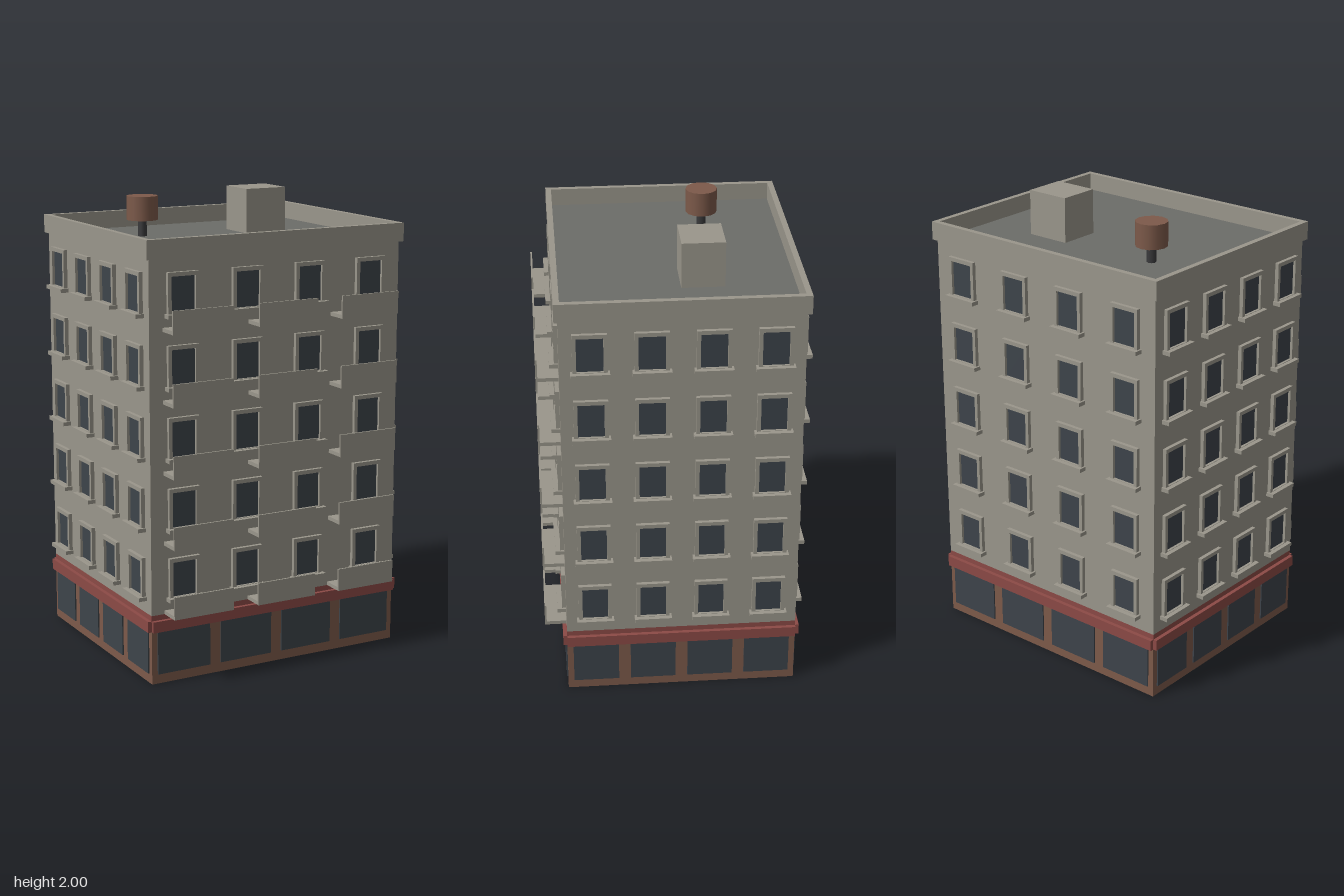
import * as THREE from 'three';

const W = 1.2, D = 1.0, ZC = -0.028; // wall width, depth and depth offset
const FLOORS = 5, STEP = 0.3;

function mat(name, color) {
  const m = new THREE.MeshStandardMaterial({ color });
  m.name = name;
  return m;
}

function add(parent, name, geometry, material, x = 0, y = 0, z = 0) {
  const mesh = new THREE.Mesh(geometry, material);
  mesh.name = name;
  mesh.position.set(x, y, z);
  parent.add(mesh);
  return mesh;
}

// Box given by its lower and upper corners
function box(parent, name, material, [x0, y0, z0], [x1, y1, z1]) {
  return add(parent, name, new THREE.BoxGeometry(x1 - x0, y1 - y0, z1 - z0), material,
    (x0 + x1) / 2, (y0 + y1) / 2, (z0 + z1) / 2);
}

function rect(path, x0, y0, x1, y1) {
  path.moveTo(x0, y0);
  path.lineTo(x1, y0);
  path.lineTo(x1, y1);
  path.lineTo(x0, y1);
  path.closePath();
  return path;
}

// Rectangular ring, extruded along z
function ring(w, h, iw, ih, depth) {
  const shape = rect(new THREE.Shape(), -w / 2, -h / 2, w / 2, h / 2);
  shape.holes.push(rect(new THREE.Path(), -iw / 2, -ih / 2, iw / 2, ih / 2));
  return new THREE.ExtrudeGeometry(shape, { depth, bevelEnabled: false });
}

export function createModel() {
  const wall = mat('wall concrete', 0x9a968b);
  const glass = mat('window glass', 0x3d444b);
  const brick = mat('shop brown', 0x7d5a4a);
  const red = mat('sign band red', 0x8c4a46);
  const deck = mat('roof grey', 0x6c6d69);
  const metal = mat('dark metal', 0x3a3a3c);

  const model = new THREE.Group();
  model.name = 'apartmentBuilding';
  const building = new THREE.Group();
  building.name = 'building';
  building.position.z = ZC;
  model.add(building);

  // Stacked main volumes
  box(building, 'shopBase', brick, [-W / 2, 0, -D / 2], [W / 2, 0.27, D / 2]);
  box(building, 'baseCourse', red, [-W / 2, 0.27, -D / 2], [W / 2, 0.303, D / 2]);
  box(building, 'walls', wall, [-W / 2, 0.303, -D / 2], [W / 2, 1.8, D / 2]);

  const frameGeo = ring(0.142, 0.185, 0.11, 0.151, 0.017);

  // One window: frame, pane and sill, with its origin at the sill's underside
  function addWindow(parent, x, y) {
    const g = new THREE.Group();
    g.name = 'window';
    g.position.set(x, y, 0);
    add(g, 'frame', frameGeo, wall, 0, 0.094, 0);
    box(g, 'pane', glass, [-0.055, 0.017, 0], [0.055, 0.17, 0.005]);
    box(g, 'sill', wall, [-0.08, 0, 0], [0.08, 0.017, 0.037]);
    parent.add(g);
  }

  // Four facades, each built facing +z at z = 0 and then turned into place
  const sides = [['front', W, D], ['left', D, W], ['back', W, D], ['right', D, W]];
  sides.forEach(([name, width, depth], i) => {
    const f = new THREE.Group();
    f.name = name + 'Facade';
    const a = i * Math.PI / 2;
    f.rotation.y = a;
    f.position.set(Math.sin(a) * depth / 2, 0, Math.cos(a) * depth / 2);
    building.add(f);

    box(f, 'signBand', red, [-width / 2, 0.232, 0], [width / 2, 0.28, 0.017]);
    const bay = width / 4;
    for (let c = 0; c < 4; c++) {
      const x = (c - 1.5) * bay;
      const half = bay / 2 - 0.026;
      box(f, 'shopWindow', glass, [x - half, 0.042, 0], [x + half, 0.232, 0.006]);
      for (let r = 0; r < FLOORS; r++) addWindow(f, x, 0.357 + r * STEP);
    }

    // Balconies on the front only: floor slab and front panel, open at the ends
    if (i === 0) {
      for (let r = 0; r < FLOORS; r++) {
        for (const x of [-0.4, 0, 0.4]) {
          const b = new THREE.Group();
          b.name = 'balcony';
          b.position.set(x, 0.303 + r * STEP, 0);
          box(b, 'balconyFloor', wall, [-0.14, 0, 0], [0.14, 0.016, 0.094]);
          box(b, 'balconyPanel', wall, [-0.14, 0, 0.086], [0.14, 0.098, 0.094]);
          f.add(b);
        }
      }
    }
  });

  // Roof deck inside the overhanging parapet
  box(building, 'roofDeck', deck, [-0.592, 1.797, -0.492], [0.592, 1.804, 0.492]);
  const parapet = add(building, 'parapet', ring(W + 0.03, D + 0.03, W - 0.02, D - 0.02, 0.08), wall, 0, 1.8, 0);
  parapet.rotation.x = -Math.PI / 2;

  // Stair house on the roof
  box(model, 'stairHouse', wall, [0.138, 1.8, -0.225], [0.336, 2, -0.043]);

  // Water tank on its post
  const tank = new THREE.Group();
  tank.name = 'waterTank';
  tank.position.set(-0.302, 0, -0.187);
  add(tank, 'tankPost', new THREE.CylinderGeometry(0.02, 0.02, 0.08, 8), metal, 0, 1.84, 0);
  add(tank, 'tankBody', new THREE.CylinderGeometry(0.069, 0.069, 0.105, 12), brick, 0, 1.928, 0);
  model.add(tank);

  return model;
}
